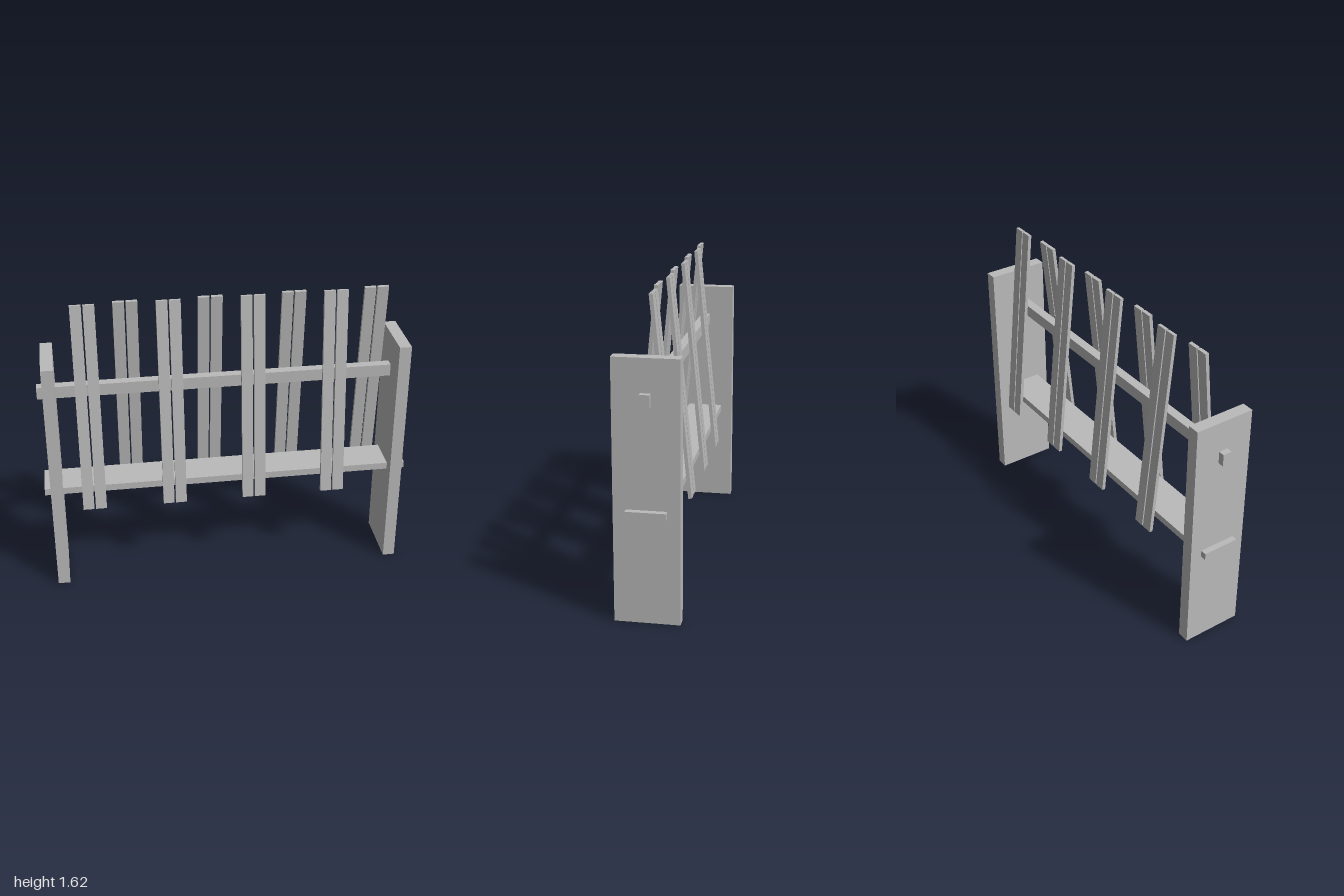
import * as THREE from 'three';

export function createModel() {
  const group = new THREE.Group();
  const wood = new THREE.MeshStandardMaterial({ color: 0xbababa });
  wood.name = 'plain grey';

  function board(name, w, h, d, x, y, z, tilt = 0) {
    const mesh = new THREE.Mesh(new THREE.BoxGeometry(w, h, d), wood);
    mesh.name = name;
    mesh.position.set(x, y, z);
    mesh.rotation.x = tilt;
    group.add(mesh);
  }

  // Wide upright end boards
  board('rightPost', 0.065, 1.335, 0.33, -0.935, 0.6675, 0);
  board('leftPost', 0.065, 1.335, 0.33, 0.935, 0.6675, 0);

  // Cross pieces whose ends pass through the posts
  board('upperRail', 2, 0.066, 0.05, 0, 1.134, 0);
  board('lowerShelf', 2, 0.038, 0.2, 0, 0.569, 0);

  // Paired slats leaning alternately to the front and the back
  const tilt = 0.098;
  for (let i = 0; i < 8; i++) {
    const side = i % 2 === 0 ? 1 : -1;
    const x = -0.736 + i * 0.22;
    for (const offset of [-0.034, 0.034]) {
      board(side > 0 ? 'frontSlat' : 'backSlat',
        0.06, 1.165, 0.019, x + offset, 1.036, side * 0.0655, -side * tilt);
    }
  }
  return group;
}
